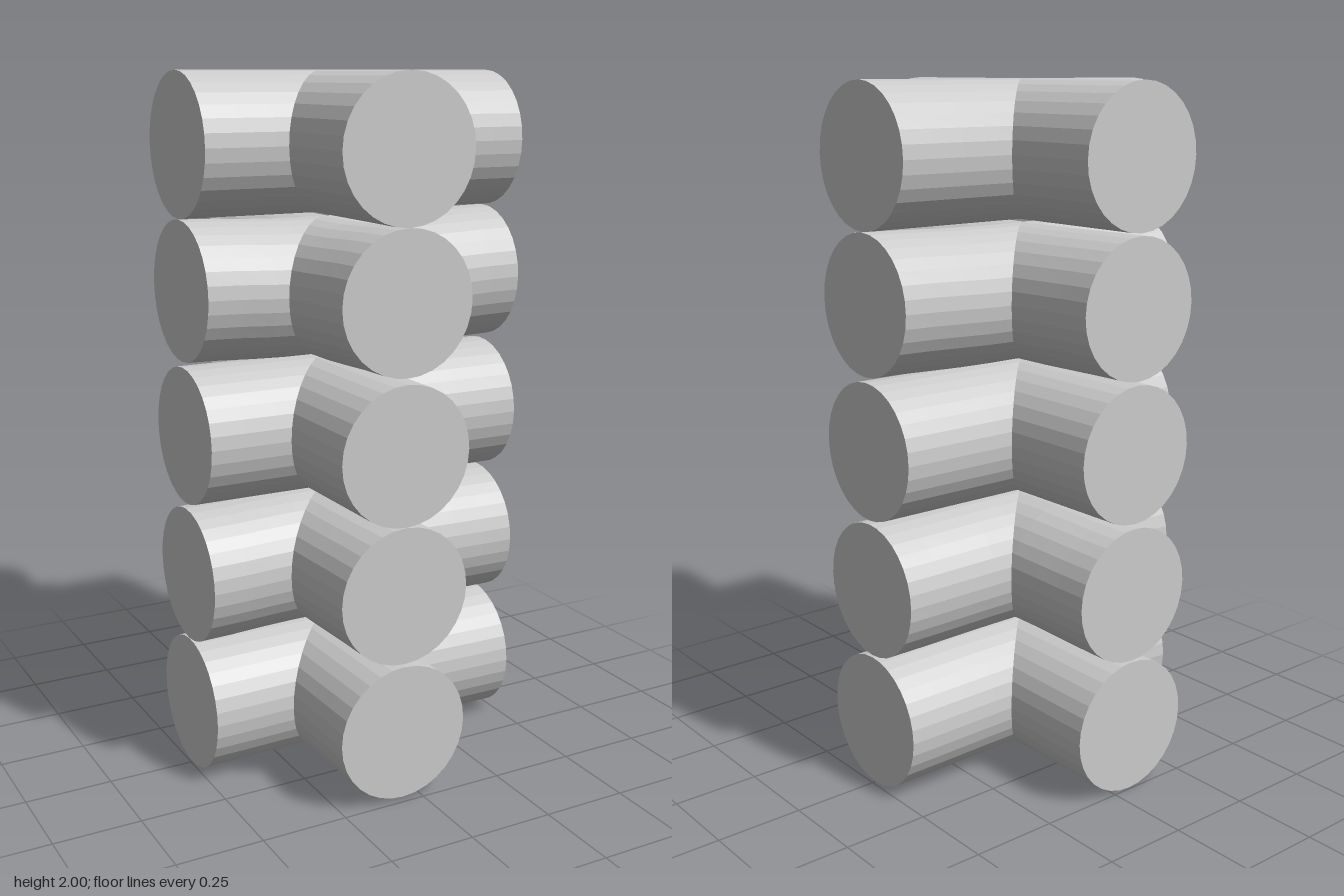
import * as THREE from 'three';

const material = new THREE.MeshStandardMaterial({ color: 0xcccccc, flatShading: true });
const CORE_X = -0.06;
const RADIUS = 0.196;

// Height of the axis at the core and at each of the four ends
const layers = [
  { core: 0.204, left: 0.2, right: 0.2, front: 0.209, back: 0.2 },
  { core: 0.606, left: 0.599, right: 0.594, front: 0.61, back: 0.597 },
  { core: 1.003, left: 1.003, right: 1.003, front: 1.003, back: 1.003 },
  { core: 1.4, left: 1.41, right: 1.411, front: 1.412, back: 1.405 },
  { core: 1.804, left: 1.804, right: 1.804, front: 1.804, back: 1.804 },
];

// Round bar along +z from `start` to `end`, crossing the core at z = 0.
// Its axis eases from the core height to the height of each end.
function makeBar(name, start, end, core, startY, endY, swell) {
  const geometry = new THREE.CylinderGeometry(RADIUS, RADIUS, end - start, 32, 10);
  geometry.rotateX(Math.PI / 2);
  geometry.translate(0, 0, (start + end) / 2);
  const p = geometry.attributes.position;
  for (let i = 0; i < p.count; i++) {
    const z = p.getZ(i);
    const t = z < 0 ? z / start : z / end;
    const ease = THREE.MathUtils.smoothstep(t, 0.3, 1);
    const scale = 1 + swell * (1 - ease);
    const y = THREE.MathUtils.lerp(core, z < 0 ? startY : endY, ease);
    p.setXYZ(i, p.getX(i) * scale, y + p.getY(i), z);
  }
  geometry.computeVertexNormals();
  const mesh = new THREE.Mesh(geometry, material);
  mesh.name = name;
  return mesh;
}

export function createModel() {
  const model = new THREE.Group();
  model.name = 'stackedCrosses';

  layers.forEach((l, i) => {
    const cross = new THREE.Group();
    cross.name = `cross${i + 1}`;
    // Only the slightly bent layers are thicker near the core
    const swell = i % 2 ? 0.035 : 0;

    const depthBar = makeBar('frontToBackBar', -0.494, 0.489, l.core, l.back, l.front, swell);
    const widthBar = makeBar('sideToSideBar', -0.435, 0.55, l.core, l.right, l.left, swell);
    widthBar.rotation.y = Math.PI / 2;

    cross.add(depthBar, widthBar);
    cross.position.x = CORE_X;
    model.add(cross);
  });

  return model;
}
